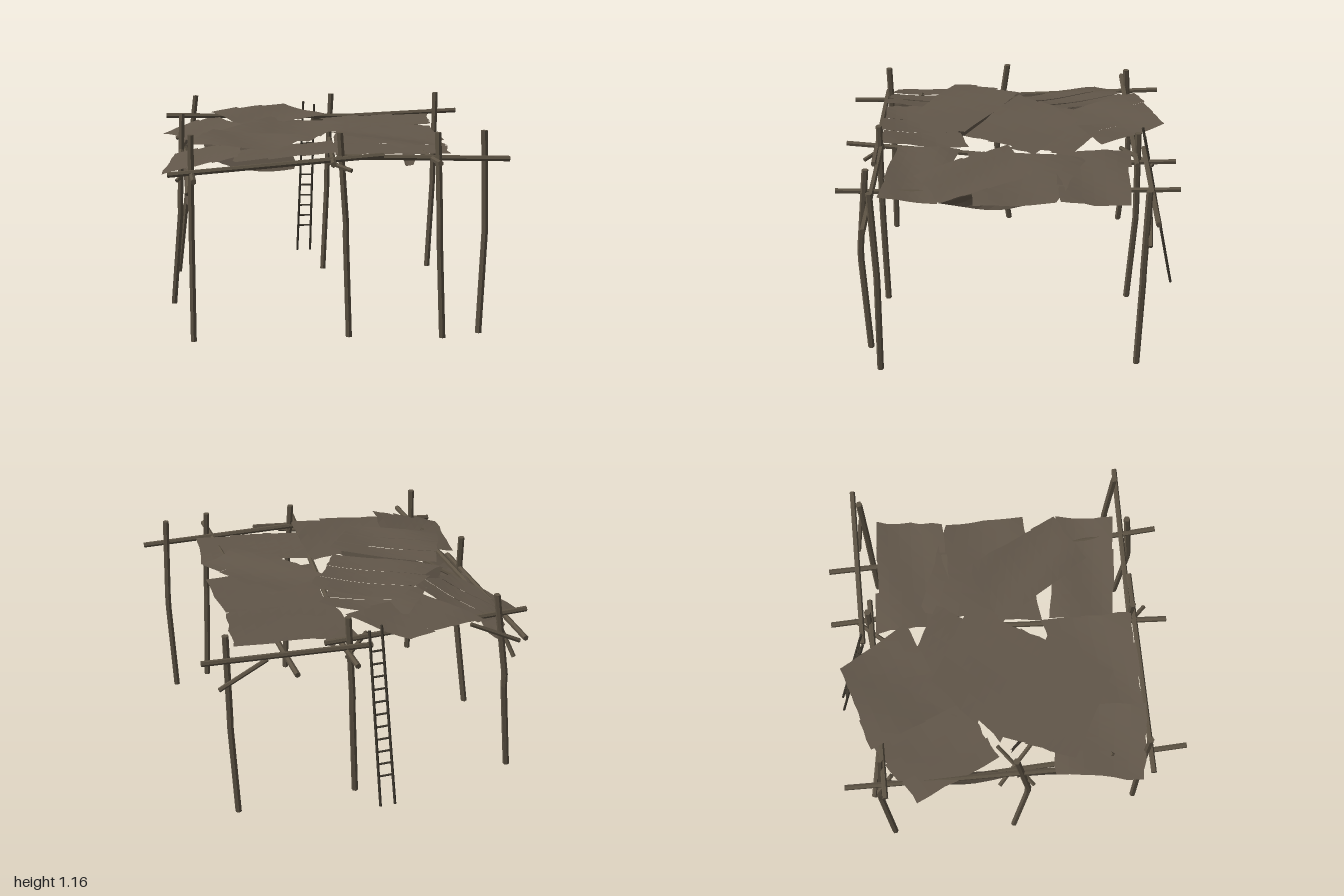
import * as THREE from 'three';

export function createModel() {
  const model = new THREE.Group();
  model.name = 'rusticCanopy';

  const material = (name, color, side = THREE.FrontSide) => {
    const m = new THREE.MeshStandardMaterial({ color, side });
    m.name = name;
    m.flatShading = true;
    return m;
  };
  const wood = material('weatheredWood', 0x5d5344);
  const sheet = material('patchedSheet', 0x62574a, THREE.DoubleSide);
  const darkWood = material('darkWood', 0x3f392f);

  let seed = 7;
  const noise = (amount) => {
    seed = (seed * 16807) % 2147483647;
    return (seed / 2147483647 - 0.5) * 2 * amount;
  };

  const add = (geometry, mat, name, parent = model) => {
    const mesh = new THREE.Mesh(geometry, mat);
    mesh.name = name;
    parent.add(mesh);
    return mesh;
  };

  // Straight pole between two points
  const pole = (a, b, radius, name, mat = wood, parent = model) => {
    const p = new THREE.Vector3(...a), q = new THREE.Vector3(...b);
    const dir = q.clone().sub(p);
    const mesh = add(new THREE.CylinderGeometry(radius, radius, dir.length(), 6), mat, name, parent);
    mesh.position.copy(p).add(q).multiplyScalar(0.5);
    mesh.quaternion.setFromUnitVectors(new THREE.Vector3(0, 1, 0), dir.normalize());
  };

  // Crooked posts: foot, bend and top as [x, z]
  const posts = [
    [[-0.80, 0.77], [-0.80, 0.76], [-0.795, 0.77]],
    [[-0.91, 0.01], [-0.86, 0.09], [-0.84, 0.02]],
    [[-0.88, -0.73], [-0.81, -0.77], [-0.75, -0.73]],
    [[0.07, 0.77], [0.05, 0.78], [0.015, 0.78]],
    [[0.07, -0.71], [0.10, -0.74], [0.125, -0.73]],
    [[0.59, 0.84], [0.56, 0.87], [0.55, 0.82]],
    [[0.81, 0.77], [0.835, 0.76], [0.815, 0.78]],
    [[0.77, -0.71], [0.80, -0.72], [0.81, -0.73]],
  ];
  posts.forEach(([foot, bend, top]) => {
    const rings = [[0, ...foot], [0.58, ...bend], [0.66, ...bend], [1.165, ...top]];
    const geo = new THREE.CylinderGeometry(0.019, 0.019, 1, 6, 3);
    const pos = geo.attributes.position;
    for (let i = 0; i < pos.count; i++) {
      const [y, x, z] = rings[Math.round((pos.getY(i) + 0.5) * 3)];
      pos.setXYZ(i, pos.getX(i) + x, y, pos.getZ(i) + z);
    }
    geo.computeVertexNormals();
    add(geo, wood, 'post');
  });

  // Long beams along the front and back, then beams across
  [
    [[-0.925, 0.95, 0.79], [0.255, 1.04, 0.80]],
    [[0.0, 1.03, 0.77], [0.955, 1.01, 0.81]],
    [[-0.94, 1.04, -0.72], [0.255, 1.02, -0.72]],
    [[0.0, 1.0, -0.78], [0.955, 1.04, -0.77]],
    [[-0.84, 0.985, -0.945], [-0.85, 0.94, 0.25]],
    [[-0.785, 0.95, 0.995], [-0.83, 0.93, -0.2]],
    [[0.14, 0.985, -0.955], [0.18, 0.985, 0.25]],
    [[-0.04, 1.025, 0.98], [0.06, 0.96, -0.2]],
    [[0.475, 0.985, -0.945], [0.49, 0.985, 0.25]],
    [[0.535, 1.025, 0.995], [0.48, 0.96, -0.2]],
  ].forEach(([a, b]) => pole(a, b, 0.016, 'beam'));

  // Diagonal braces near the post heads
  [
    [[0.59, 1.0, -0.76], [0.86, 0.845, -0.745]],
    [[-0.88, 0.78, 0.12], [-0.68, 0.95, -0.07]],
    [[-0.89, 0.88, -0.08], [-0.66, 0.97, 0.15]],
    [[-0.88, 0.88, -0.79], [-0.6, 1.0, -0.73]],
    [[-0.85, 0.78, -0.79], [-0.79, 0.96, -0.68]],
    [[0.16, 0.97, -0.82], [-0.01, 1.0, -0.64]],
    [[-0.05, 1.0, 0.75], [0.07, 0.97, 0.87]],
    [[-0.82, 0.83, 0.74], [-0.8, 0.98, 0.56]],
  ].forEach(([a, b]) => pole(a, b, 0.013, 'brace'));

  // Ladder leaning on the back
  const ladder = new THREE.Group();
  ladder.name = 'ladder';
  model.add(ladder);
  pole([-0.077, 0.06, -0.99], [-0.052, 1.11, -0.775], 0.008, 'ladderRail', darkWood, ladder);
  pole([0.01, 0.06, -0.99], [0.02, 1.09, -0.78], 0.008, 'ladderRail', darkWood, ladder);
  for (let i = 0; i < 11; i++) {
    const y = 0.24 + i * 0.073, t = (y - 0.06) / 1.05;
    const z = -0.99 + 0.215 * t;
    pole([-0.077 + 0.025 * t, y, z], [0.01 + 0.01 * t, y, z], 0.006, 'ladderRung', darkWood, ladder);
  }

  // Surface from a grid of points, nu by nv cells
  const grid = (nu, nv, point) => {
    const verts = [], index = [];
    for (let j = 0; j <= nv; j++) for (let i = 0; i <= nu; i++) verts.push(...point(i / nu, j / nv, i, j));
    for (let j = 0; j < nv; j++) for (let i = 0; i < nu; i++) {
      const a = j * (nu + 1) + i, b = a + 1, c = a + nu + 1, d = c + 1;
      index.push(a, c, b, b, c, d);
    }
    const geo = new THREE.BufferGeometry();
    geo.setAttribute('position', new THREE.Float32BufferAttribute(verts, 3));
    geo.setIndex(index);
    geo.computeVertexNormals();
    return geo;
  };

  // Roof sheets: four corners [x, y, z]; lapped strips run from first to second corner
  const roofSheet = (corners, strips) => {
    const [a, b, c, d] = corners.map((p) => new THREE.Vector3(...p));
    const group = new THREE.Group();
    group.name = 'roofSheet';
    model.add(group);
    for (let s = 0; s < strips; s++) {
      const ragged = noise(0.018);
      add(grid(3, 6, (u, v, i, j) => {
        const U = (s + u * 1.08) / (strips + 0.08);
        const end = j === 0 || j === 6 ? ragged + noise(0.012) : 0;
        const V = v + end;
        const p = a.clone().lerp(b, U).lerp(d.clone().lerp(c, U), V);
        const sag = 0.008 * Math.sin(V * 5 + U * 3);
        const side = (s === 0 && i === 0) || (s === strips - 1 && i === 3) ? noise(0.008) : 0;
        return [p.x + side, p.y + sag + 0.008 * u, p.z + side];
      }), sheet, 'sheetStrip', group);
    }
  };
  roofSheet([[-0.65, 1.05, -0.77], [-0.17, 1.07, -0.92], [0.07, 1.05, -0.53], [-0.45, 1.02, -0.30]], 3);
  roofSheet([[-0.96, 0.95, -0.55], [-0.63, 1.02, -0.78], [-0.42, 1.03, -0.22], [-0.76, 0.98, -0.08]], 3);
  roofSheet([[0.05, 1.01, -0.69], [0.74, 1.03, -0.64], [0.70, 1.02, -0.25], [0.07, 1.02, -0.25]], 3);
  roofSheet([[0.15, 1.015, -0.45], [0.69, 1.02, -0.24], [0.70, 1.0, 0.22], [0.03, 1.01, 0.25]], 3);
  roofSheet([[-0.51, 1.03, -0.29], [-0.28, 1.035, -0.59], [0.18, 1.03, -0.33], [0.04, 1.03, -0.12]], 2);
  roofSheet([[-0.68, 1.03, -0.05], [-0.29, 1.045, -0.41], [0.17, 1.04, -0.13], [-0.12, 1.04, 0.28]], 3);
  roofSheet([[-0.81, 1.04, 0.36], [-0.66, 1.05, -0.05], [-0.09, 1.055, 0.28], [-0.32, 1.05, 0.64]], 3);
  roofSheet([[-0.88, 0.965, 0.23], [-0.50, 1.02, 0.25], [-0.54, 1.03, 0.80], [-0.96, 0.95, 0.72]], 3);
  roofSheet([[-0.56, 1.0, 0.40], [0.03, 1.02, 0.27], [0.01, 1.04, 0.78], [-0.56, 1.02, 0.78]], 3);
  roofSheet([[0.03, 1.02, 0.30], [0.68, 1.01, 0.43], [0.63, 1.02, 0.76], [0.0, 1.03, 0.67]], 3);
  roofSheet([[0.38, 1.035, 0.56], [0.04, 1.035, 0.03], [0.40, 1.035, -0.15], [0.68, 1.03, 0.41]], 4);

  // Hanging sheets: top edge from p to q, drooping by the given drop
  const hangingSheet = (p, q, drop) => {
    const a = new THREE.Vector3(...p), b = new THREE.Vector3(...q);
    add(grid(8, 3, (u, v) => {
      const t = a.clone().lerp(b, u);
      const depth = drop * (0.62 + 0.38 * Math.sin(Math.PI * u));
      const belly = 0.012 * Math.sin(v * 3 + u * 6);
      return [t.x + belly, t.y - depth * v, t.z + belly];
    }), sheet, 'hangingSheet');
  };
  hangingSheet([-0.80, 0.93, 0.75], [-0.84, 0.95, 0.02], 0.23);
  hangingSheet([-0.84, 0.97, -0.03], [-0.81, 0.96, -0.72], 0.18);
  hangingSheet([-0.72, 0.99, 0.0], [-0.22, 1.0, 0.52], 0.13);
  hangingSheet([0.155, 1.0, -0.12], [0.16, 1.0, -0.66], 0.13);
  hangingSheet([0.48, 0.99, 0.42], [0.48, 0.99, -0.12], 0.13);

  return model;
}
